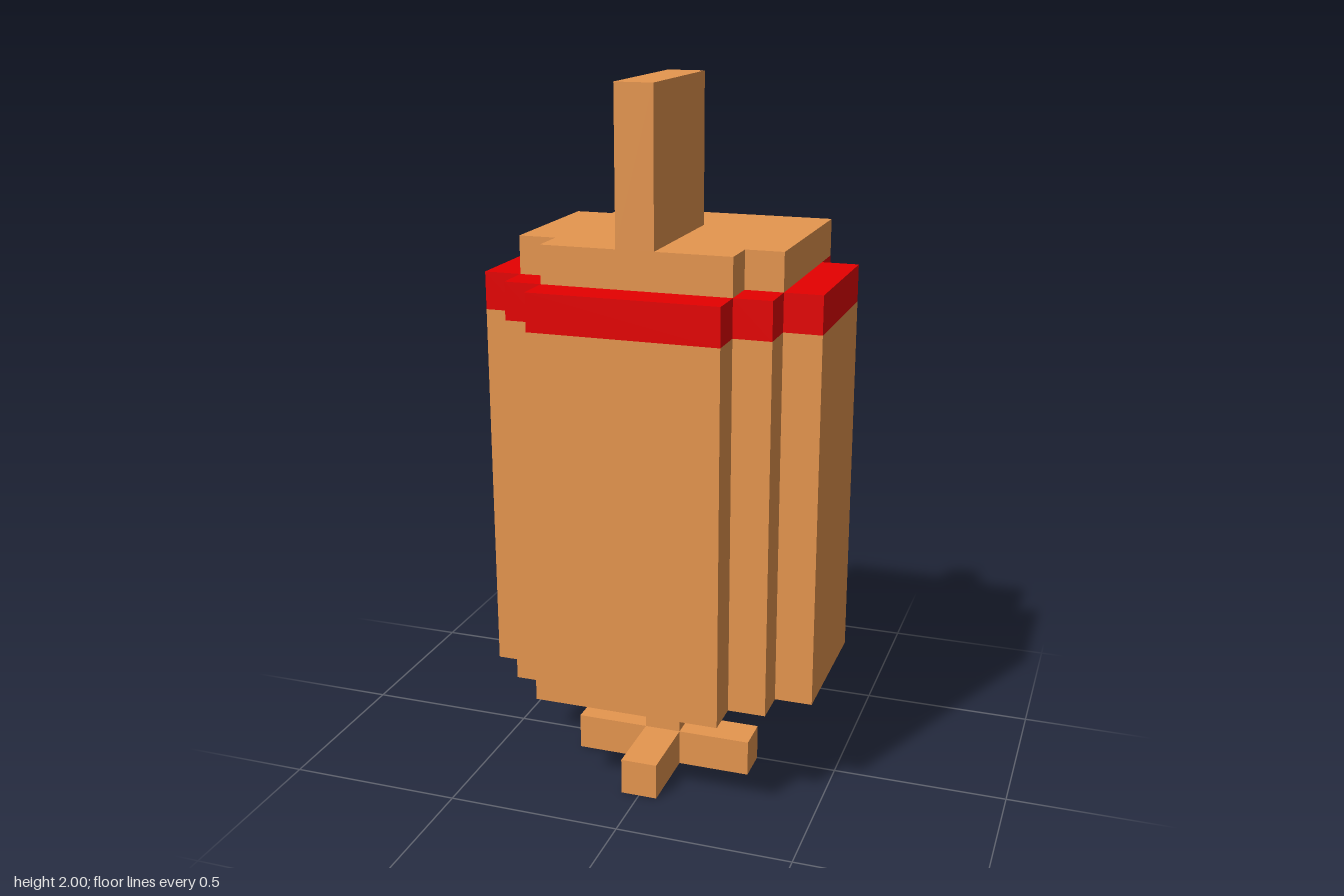
import * as THREE from 'three';

const U = 2 / 19; // one block unit

export function createModel() {
  const group = new THREE.Group();
  const wood = new THREE.MeshStandardMaterial({ color: 0xe6964f });
  wood.name = 'wood';
  const red = new THREE.MeshStandardMaterial({ color: 0xe60000 });
  red.name = 'red';

  const add = (name, geometry, material) => {
    const mesh = new THREE.Mesh(geometry, material);
    mesh.name = name;
    group.add(mesh);
  };

  // box from its limits, in block units
  const box = (name, x0, x1, y0, y1, z0, z1) => {
    const g = new THREE.BoxGeometry((x1 - x0) * U, (y1 - y0) * U, (z1 - z0) * U);
    g.translate((x0 + x1) / 2 * U, (y0 + y1) / 2 * U, (z0 + z1) / 2 * U);
    add(name, g, wood);
  };

  // upright prism from an outline of [x, z] points, in block units
  const prism = (name, outline, y0, y1, material) => {
    const shape = new THREE.Shape(outline.map(([x, z]) => new THREE.Vector2(x * U, -z * U)));
    const g = new THREE.ExtrudeGeometry(shape, { depth: (y1 - y0) * U, bevelEnabled: false });
    g.rotateX(-Math.PI / 2);
    g.translate(0, y0 * U, 0);
    add(name, g, material);
  };

  // stepped round outline: one quarter mirrored into the other three
  const quarter = [[4.5, 2], [3.5, 2], [3.5, 3], [2.5, 3], [2.5, 4]];
  const half = [...quarter, ...quarter.map(([x, z]) => [-x, z]).reverse()];
  const round = [...half, ...half.map(([x, z]) => [x, -z]).reverse()];

  // drum body with its red rim
  prism('body', round, 3, 13, wood);
  prism('rim', round, 13, 14, red);

  // lid with three notched corners and one full corner
  prism('lid', [
    [3.5, -3], [3.5, 2], [2.5, 2], [2.5, 3], [-2.5, 3], [-2.5, 2],
    [-3.5, 2], [-3.5, -2], [-2.5, -2], [-2.5, -3],
  ], 14, 15, wood);

  // upright handle, set towards the front
  box('handle', -0.5, 0.5, 15, 19, -1, 3);

  // stem and crossed foot
  box('stem', -0.5, 0.5, 1, 3, 0, 1);
  box('footLong', -0.5, 0.5, 0, 1, -3, 3);
  box('footLeft', 0.5, 2.5, 0, 1, 0, 1);
  box('footRight', -2.5, -0.5, 0, 1, 0, 1);

  return group;
}
